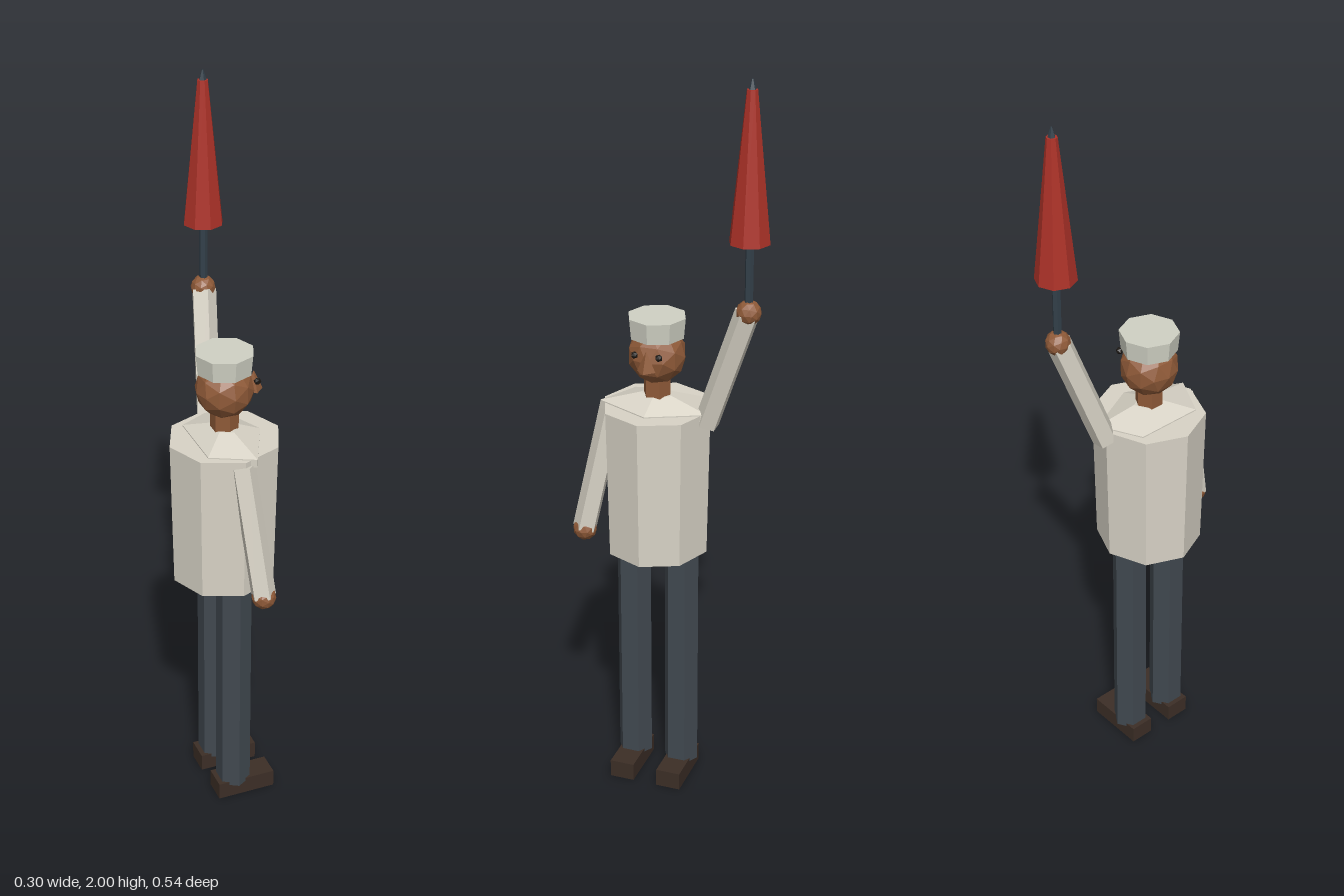
import * as THREE from 'three';

const material = (name, color) => {
  const m = new THREE.MeshStandardMaterial({ color, flatShading: true });
  m.name = name;
  return m;
};

export function createModel() {
  const group = new THREE.Group();
  const cloth = material('cream cloth', 0xd8d3c6);
  const capCloth = material('pale cap cloth', 0xd0d1c4);
  const trousers = material('slate trousers', 0x414950);
  const leather = material('brown leather', 0x3c2e26);
  const skin = material('skin', 0x8f5a38);
  const black = material('black', 0x1c1814);
  const red = material('red canopy', 0xad3228);
  const steel = material('dark steel', 0x33404a);

  const add = (name, geometry, mat, x, y, z) => {
    const mesh = new THREE.Mesh(geometry, mat);
    mesh.name = name;
    mesh.position.set(x, y, z);
    group.add(mesh);
    return mesh;
  };
  // Upright prism or frustum between two heights
  const column = (name, mat, x, z, y0, y1, rBottom, rTop, sides) =>
    add(name, new THREE.CylinderGeometry(rTop, rBottom, y1 - y0, sides), mat, x, (y0 + y1) / 2, z);
  // Prism running from one point to another
  const limb = (name, mat, a, b, r, sides) => {
    const from = new THREE.Vector3(...a), to = new THREE.Vector3(...b);
    const dir = to.clone().sub(from);
    const mid = from.clone().add(to).multiplyScalar(0.5);
    const mesh = add(name, new THREE.CylinderGeometry(r, r, dir.length(), sides), mat, mid.x, mid.y, mid.z);
    mesh.quaternion.setFromUnitVectors(new THREE.Vector3(0, 1, 0), dir.normalize());
  };

  const cz = 0.04; // centre line of the body; the figure faces +x

  // Legs and shoes
  for (const [side, s] of [['left', -1], ['right', 1]]) {
    const z = cz + s * 0.068;
    column(side + 'Leg', trousers, 0, z, 0.04, 0.72, 0.048, 0.048, 6);
    add(side + 'Shoe', new THREE.BoxGeometry(0.165, 0.05, 0.068), leather, 0.028, 0.025, z);
  }

  // Coat with sloping shoulders
  column('coat', cloth, 0, cz, 0.7, 1.11, 0.143, 0.151, 8).scale.z = 0.97;
  const shoulderProfile = [[0, 1.09], [0.1, 1.09], [0.1, 1.113], [0.03, 1.142], [0, 1.142]]
    .map(([r, y]) => new THREE.Vector2(r, y));
  const shoulders = add('shoulders', new THREE.LatheGeometry(shoulderProfile, 5, Math.PI / 2), cloth, 0, 0, cz);
  shoulders.scale.z = 1.55;

  // Neck, head and cap
  column('neck', skin, 0, cz, 1.12, 1.21, 0.037, 0.037, 6);
  add('head', new THREE.IcosahedronGeometry(0.077, 1), skin, 0, 1.251, cz);
  column('cap', capCloth, 0, cz, 1.302, 1.357, 0.073, 0.078, 8);

  // Face
  column('nose', skin, 0.08, cz, 1.232, 1.285, 0.025, 0.001, 4);
  for (const s of [-1, 1]) {
    add(s < 0 ? 'leftEye' : 'rightEye', new THREE.IcosahedronGeometry(0.01, 0), black, 0.077, 1.272, cz + s * 0.033);
  }

  // Arms: one hanging, one raised
  limb('hangingArm', cloth, [0, 1.09, 0.165], [0.03, 0.73, 0.238], 0.034, 5);
  add('hangingHand', new THREE.IcosahedronGeometry(0.033, 1), skin, 0.031, 0.728, 0.238);
  limb('raisedArm', cloth, [0.01, 1.08, -0.1], [0.043, 1.41, -0.216], 0.034, 5);
  add('raisedHand', new THREE.IcosahedronGeometry(0.033, 1), skin, 0.044, 1.413, -0.219);

  // Folded umbrella
  const ux = 0.045, uz = -0.219;
  column('umbrellaShaft', steel, ux, uz, 1.4, 1.62, 0.011, 0.011, 6);
  column('umbrellaCanopy', red, ux, uz, 1.595, 1.975, 0.053, 0.014, 8);
  column('umbrellaTip', steel, ux, uz, 1.965, 2.0, 0.013, 0.002, 5);

  return group;
}
